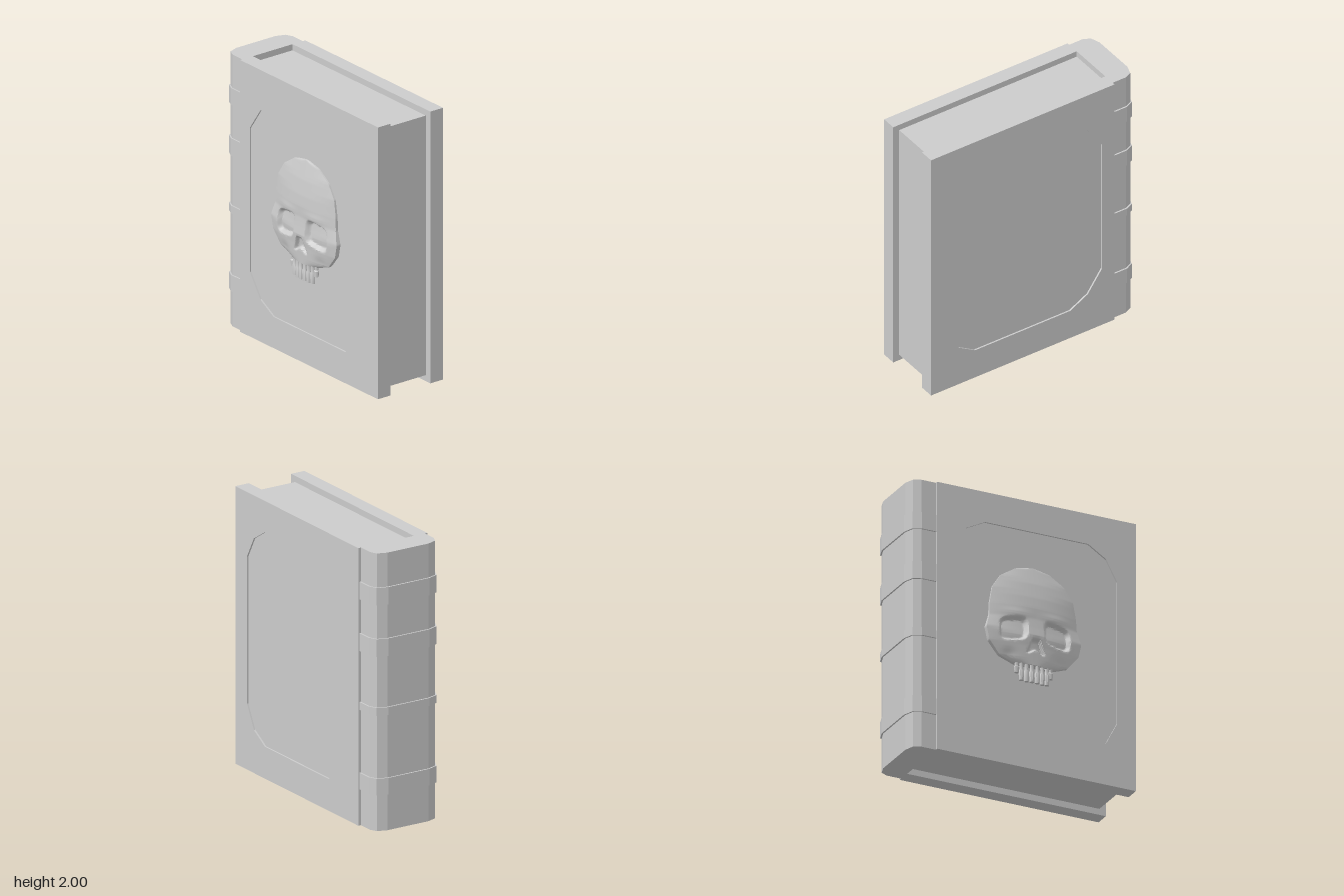
import * as THREE from 'three';
import { toCreasedNormals } from 'three/addons/utils/BufferGeometryUtils.js';

const material = new THREE.MeshStandardMaterial({ color: 0xcccccc });
const CX = 0.066; // middle of the skull and of its panel
const PANEL_DEPTH = 0.012;
const FRONT = 0.248, BACK = -0.314, INNER_FRONT = 0.139, INNER_BACK = -0.204;

function add(parent, name, geometry) {
  const mesh = new THREE.Mesh(geometry, material);
  mesh.name = name;
  parent.add(mesh);
  return mesh;
}

const polygon = (pts) => new THREE.Shape(pts.map(([x, y]) => new THREE.Vector2(x, y)));
const extrude = (shape, depth) => new THREE.ExtrudeGeometry(shape, { depth, bevelEnabled: false });

// Linear lookup in a list of [key, value] with rising keys
function lookup(table, k) {
  for (let i = 1; i < table.length; i++) {
    const [k0, v0] = table[i - 1], [k1, v1] = table[i];
    if (k <= k1) return v0 + (v1 - v0) * Math.max(0, (k - k0) / (k1 - k0));
  }
  return table[table.length - 1][1];
}

// Cover board with a sunken panel that has clipped corners
const panelPoints = [
  [-0.555, 0.475], [-0.44, 0.31], [-0.295, 0.23], [0.49, 0.23], [0.625, 0.31], [0.71, 0.475],
  [0.71, 1.535], [0.625, 1.69], [0.49, 1.775], [-0.295, 1.775], [-0.44, 1.7], [-0.555, 1.535],
];

function cover(name, zMin, zMax, panelInFront) {
  const group = new THREE.Group();
  group.name = name;
  const board = polygon([[-0.66, 0], [0.852, 0], [0.852, 2], [-0.66, 2]]);
  board.holes.push(polygon(panelPoints));
  add(group, 'board', extrude(board, zMax - zMin)).position.z = zMin;
  const panel = add(group, 'sunkenPanel', extrude(polygon(panelPoints), zMax - zMin - PANEL_DEPTH));
  panel.position.z = panelInFront ? zMin : zMin + PANEL_DEPTH;
  return group;
}

// Spine section, shrunk by an inset, extruded upwards from y0 to y1
function spineSection(inset, y0, y1) {
  const i = inset;
  const zf = 0.24, zb = -0.303;
  const pts = [
    [-0.66, zb + i], [-0.77, zb + i], [-0.829 + i * 0.7, -0.276 + i * 0.7], [-0.856 + i, -0.199],
    [-0.856 + i, 0.135], [-0.829 + i * 0.7, 0.212 - i * 0.7], [-0.77, zf - i], [-0.66, zf - i],
  ];
  const geometry = extrude(polygon(pts.map(([x, z]) => [x, -z])), y1 - y0);
  geometry.rotateX(-Math.PI / 2);
  geometry.translate(0, y0, 0);
  return geometry;
}

// Skull relief: half width, ridge height and rim height for each y
const halfWidth = [
  [0.757, 0.14], [0.8, 0.26], [0.897, 0.339], [0.992, 0.36], [1.087, 0.333], [1.183, 0.328],
  [1.305, 0.307], [1.405, 0.243], [1.48, 0.127], [1.503, 0.01],
];
const ridge = [
  [0.757, 0.294], [0.89, 0.304], [0.97, 0.315], [1.03, 0.308], [1.1, 0.302], [1.18, 0.305],
  [1.26, 0.299], [1.37, 0.282], [1.503, 0.249],
];
const rim = [[0.757, 0.262], [0.9, 0.268], [1, 0.27], [1.09, 0.256], [1.2, 0.252], [1.503, 0.246]];

function skullHeight(x, y, s) {
  const low = lookup(rim, y), high = lookup(ridge, y);
  let z = low + (high - low) * (1 - Math.pow(Math.abs(s), 2.2));
  const ax = Math.abs(x);
  // Eye sockets, leaning down towards the outside
  const dx = (ax - 0.165) / 0.108;
  const dy = (y - 1.005 + (ax - 0.165) * 0.15) / 0.094;
  const d = Math.pow(dx ** 4 + dy ** 4, 0.25);
  z -= 0.034 * (1 - THREE.MathUtils.smoothstep(d, 0.72, 1));
  // Brow ridge above the sockets
  z += 0.006 * Math.exp(-(((y - 1.125) / 0.03) ** 2) - ((ax - 0.15) / 0.09) ** 2);
  // Nose opening, widening downwards, with a small spine at its foot
  const t = (0.955 - y) / 0.115;
  const foot = 0.84 + 0.03 * Math.exp(-((ax / 0.035) ** 2));
  const side = 1 - THREE.MathUtils.smoothstep(ax / (0.028 + 0.045 * t), 0.7, 1.05);
  const span = THREE.MathUtils.smoothstep(y, foot - 0.008, foot + 0.012)
    * (1 - THREE.MathUtils.smoothstep(y, 0.93, 0.96));
  if (t > -0.1) z -= 0.026 * side * span;
  // Hollows below the cheekbones
  z -= 0.008 * Math.exp(-(((ax - 0.19) / 0.05) ** 2) - ((y - 0.81) / 0.04) ** 2);
  return z;
}

function skullGeometry() {
  const cols = 84, rows = 88, base = FRONT - PANEL_DEPTH - 0.004;
  const position = [], index = [];
  for (let j = -1; j <= rows + 1; j++) {
    const v = THREE.MathUtils.clamp(j / rows, 0, 1);
    const y = 0.757 + 0.746 * v;
    const w = lookup(halfWidth, y);
    for (let i = -1; i <= cols + 1; i++) {
      const s = THREE.MathUtils.clamp(i / cols, 0, 1) * 2 - 1;
      const skirt = i < 0 || j < 0 || i > cols || j > rows;
      position.push(CX + s * w, y, skirt ? base : skullHeight(s * w, y, s));
    }
  }
  const n = cols + 3;
  for (let j = 0; j < rows + 2; j++) {
    for (let i = 0; i < cols + 2; i++) {
      const a = j * n + i;
      index.push(a, a + 1, a + n + 1, a, a + n + 1, a + n);
    }
  }
  const geometry = new THREE.BufferGeometry();
  geometry.setAttribute('position', new THREE.Float32BufferAttribute(position, 3));
  geometry.setIndex(index);
  return toCreasedNormals(geometry, 0.7);
}

// Tooth: narrow root above a wider crown
function toothGeometry(height) {
  const profile = [[0, 0], [0.017, 0], [0.021, 0.5], [0.014, 0.6], [0.016, 0.95], [0, 1]];
  const lathe = new THREE.LatheGeometry(profile.map(([r, h]) => new THREE.Vector2(r, h * height)), 8);
  return toCreasedNormals(lathe, 0.6);
}

export function createModel() {
  const model = new THREE.Group();
  model.name = 'book';

  model.add(cover('frontCover', INNER_FRONT, FRONT, true));
  model.add(cover('backCover', BACK, INNER_BACK, false));

  const pages = add(model, 'pages', new THREE.BoxGeometry(1.465, 1.91, INNER_FRONT - INNER_BACK));
  pages.position.set(0.0705, 1, (INNER_FRONT + INNER_BACK) / 2);

  add(model, 'spine', spineSection(0.011, 0, 2));
  for (const [y0, y1] of [[0.26, 0.38], [0.833, 0.89], [1.257, 1.385], [1.63, 1.755]]) {
    add(model, 'spineBand', spineSection(0, y0, y1));
  }

  const skull = new THREE.Group();
  skull.name = 'skullRelief';
  add(skull, 'skull', skullGeometry());
  // Teeth as [offset from the middle, bottom, z], mirrored
  for (const [x, bottom, z] of [[0.021, 0.632, 0.278], [0.06, 0.63, 0.275], [0.097, 0.635, 0.27], [0.128, 0.69, 0.262]]) {
    for (const side of [-1, 1]) {
      const tooth = add(skull, 'tooth', toothGeometry(0.772 - bottom));
      tooth.position.set(CX + side * x, bottom, z);
      tooth.scale.z = 0.8;
    }
  }
  model.add(skull);
  return model;
}
